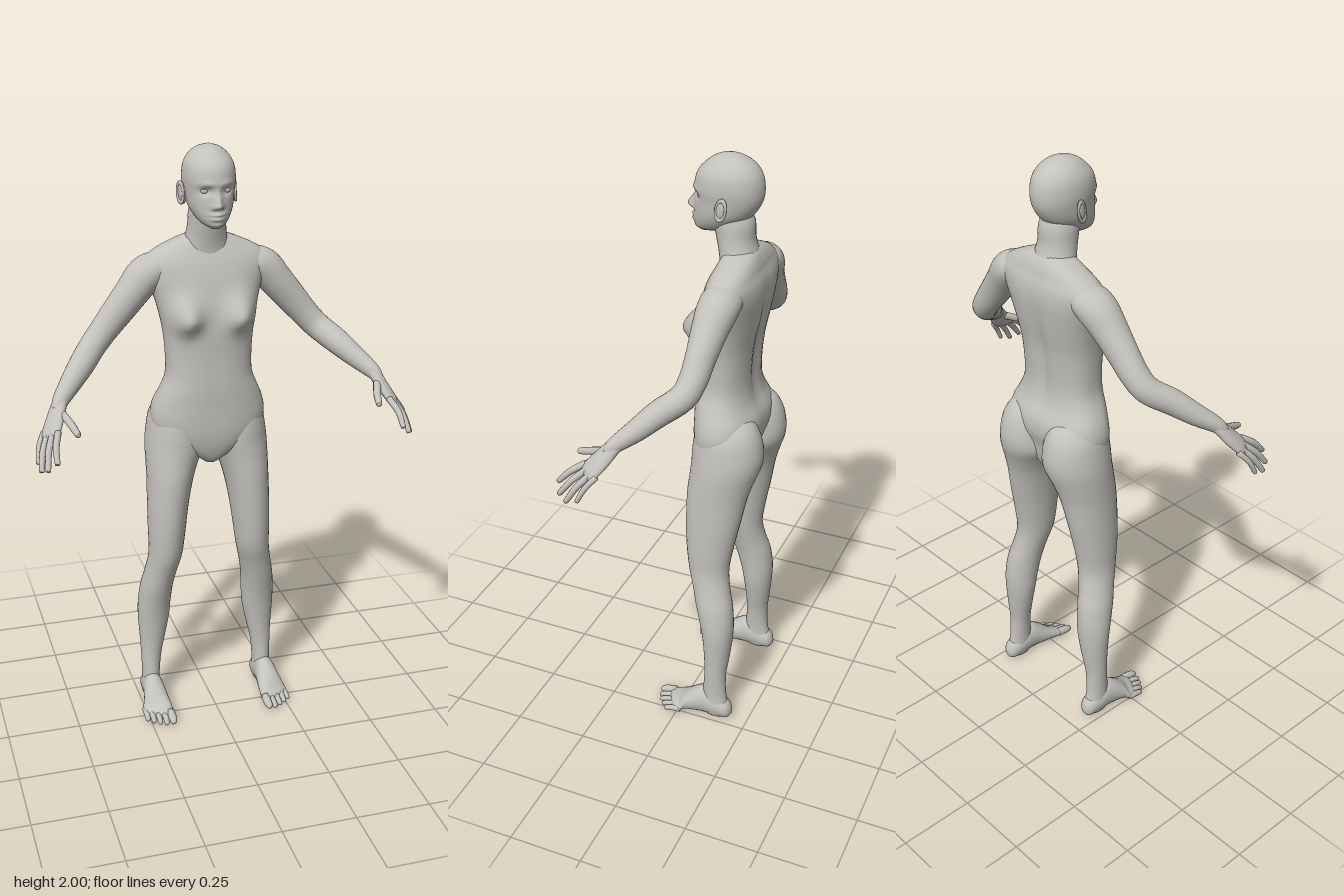
import * as THREE from 'three';

const V = (x, y, z) => new THREE.Vector3(x, y, z);
const bump = (d, r) => Math.exp(-(d * d) / (r * r));

// Smooth closed skin over stations [x, y, z, radiusA, radiusB]; radiusA lies along `side`.
// `axis` fixes the ring direction, otherwise rings follow the path.
function sweep(stations, side, { axis = null, seg = 16, sub = 4, pow = 1, deform = null } = {}) {
  const path = new THREE.CatmullRomCurve3(stations.map(s => V(s[0], s[1], s[2])), false, 'catmullrom', 0.5);
  const radii = new THREE.CatmullRomCurve3(stations.map(s => V(s[3], s[4], 0)), false, 'catmullrom', 0.5);
  const n = (stations.length - 1) * sub;
  const shape = c => Math.sign(c) * Math.abs(c) ** pow;
  const pos = [], idx = [];
  for (let i = 0; i <= n; i++) {
    const c = path.getPoint(i / n), r = radii.getPoint(i / n);
    const t = axis ? axis.clone() : path.getTangent(i / n);
    const u = side.clone().addScaledVector(t, -side.dot(t)).normalize();
    const v = t.clone().cross(u);
    for (let j = 0; j < seg; j++) {
      const a = (j / seg) * Math.PI * 2;
      const p = c.clone().addScaledVector(u, r.x * shape(Math.cos(a))).addScaledVector(v, r.y * shape(Math.sin(a)));
      if (deform) deform(p, c);
      pos.push(p.x, p.y, p.z);
      if (i < n) {
        const k = i * seg, j1 = (j + 1) % seg;
        idx.push(k + j, k + j1, k + seg + j1, k + j, k + seg + j1, k + seg + j);
      }
    }
  }
  // end caps
  [0, n].forEach(i => {
    const c = path.getPoint(i / n), m = pos.length / 3;
    if (deform) deform(c, c.clone());
    pos.push(c.x, c.y, c.z);
    for (let j = 0; j < seg; j++) {
      const a = i * seg + j, b = i * seg + (j + 1) % seg;
      idx.push(m, ...(i ? [a, b] : [b, a]));
    }
  });
  const g = new THREE.BufferGeometry();
  g.setAttribute('position', new THREE.Float32BufferAttribute(pos, 3));
  g.setIndex(idx);
  g.computeVertexNormals();
  return g;
}

// Level rings from rows [y, xCentre, halfWidth, zFront, zBack]
const upright = (rows, opts) => sweep(
  rows.map(([y, x, w, f, b]) => [x, y, (f + b) / 2, w, (f - b) / 2]), V(1, 0, 0), { axis: V(0, 1, 0), ...opts });

function mirrored(geo) {
  const g = geo.clone().scale(-1, 1, 1);
  const a = g.index.array;
  for (let i = 0; i < a.length; i += 3) [a[i + 1], a[i + 2]] = [a[i + 2], a[i + 1]];
  g.computeVertexNormals();
  return g;
}

// Tapered finger or toe with a rounded tip
function digit(base, mid, tip, r, side) {
  const end = tip.clone().sub(mid).normalize();
  const at = (p, k) => [p.x, p.y, p.z, r * k, r * k];
  return sweep([
    at(base, 1.05), at(mid, 1), at(tip.clone().addScaledVector(end, -r * 0.8), 0.82),
    at(tip.clone().addScaledVector(end, -r * 0.25), 0.6), at(tip, 0.08),
  ], side, { seg: 10, sub: 3 });
}

export function createModel() {
  const figure = new THREE.Group();
  figure.name = 'figure';
  const clay = new THREE.MeshStandardMaterial({ color: 0xc2c1bc });
  clay.name = 'clay grey';
  const add = (name, geo) => {
    const m = new THREE.Mesh(geo, clay);
    m.name = name;
    figure.add(m);
  };
  const pair = (name, geo) => {
    add('left ' + name, geo);
    add('right ' + name, mirrored(geo));
  };

  // Torso with chest and spine furrow
  add('torso', upright([
    [0.935, 0, 0.02, -0.05, -0.11], [0.955, 0, 0.05, -0.025, -0.17], [1.0, 0, 0.13, -0.008, -0.19],
    [1.05, 0, 0.18, 0, -0.2], [1.1, 0, 0.196, 0.002, -0.215], [1.15, 0, 0.188, 0.002, -0.212],
    [1.2, 0, 0.166, 0.003, -0.19], [1.25, 0, 0.147, 0.002, -0.18], [1.315, 0, 0.145, 0, -0.18],
    [1.4, 0, 0.152, 0, -0.188], [1.475, 0, 0.166, -0.008, -0.202], [1.53, 0, 0.182, -0.02, -0.21],
    [1.58, 0, 0.2, -0.032, -0.214], [1.62, 0, 0.208, -0.045, -0.21], [1.65, 0, 0.188, -0.058, -0.2],
    [1.675, 0, 0.145, -0.07, -0.193], [1.7, 0, 0.085, -0.08, -0.18], [1.715, 0, 0.04, -0.09, -0.16],
  ], {
    seg: 56, sub: 4, pow: 0.85,
    deform(p, c) {
      if (p.z > c.z) p.z += 0.052 * bump(Math.abs(p.x) - 0.092, 0.046) * bump(p.y - 1.452, p.y > 1.452 ? 0.065 : 0.042);
      else p.z += 0.014 * bump(p.x, 0.025) * bump(p.y - 1.38, 0.2);
    },
  }));

  add('neck', upright([
    [1.6, 0, 0.1, -0.06, -0.2], [1.66, 0, 0.085, -0.06, -0.192], [1.7, 0, 0.07, -0.054, -0.178],
    [1.74, 0, 0.063, -0.045, -0.167], [1.79, 0, 0.06, -0.035, -0.165], [1.83, 0, 0.05, -0.04, -0.15],
  ], { seg: 28 }));

  // Head with brow, eye sockets, nose, lips and chin
  add('head', upright([
    [1.75, 0, 0.016, 0.012, -0.03], [1.765, 0, 0.041, 0.026, -0.09], [1.79, 0, 0.06, 0.028, -0.13],
    [1.82, 0, 0.073, 0.026, -0.165], [1.86, 0, 0.08, 0.024, -0.188], [1.9, 0, 0.084, 0.026, -0.193],
    [1.94, 0, 0.079, 0.015, -0.185], [1.97, 0, 0.062, -0.012, -0.163], [1.99, 0, 0.037, -0.042, -0.13],
    [2.0, 0, 0.006, -0.08, -0.092],
  ], {
    seg: 72, sub: 8,
    deform(p, c) {
      if (p.z < c.z) return;
      const x = Math.abs(p.x), y = p.y;
      p.z += 0.028 * bump(x, 0.012) * bump(y - 1.824, y > 1.824 ? 0.032 : 0.009)
        + 0.008 * bump(x - 0.013, 0.008) * bump(y - 1.821, 0.009)
        + 0.005 * bump(x - 0.03, 0.025) * bump(y - 1.89, 0.01)
        - 0.013 * bump(x - 0.034, 0.017) * bump(y - 1.868, 0.013)
        + 0.011 * bump(x, 0.02) * (bump(y - 1.797, 0.006) + bump(y - 1.783, 0.006))
        + 0.004 * bump(x, 0.02) * bump(y - 1.762, 0.01);
    },
  }));
  pair('eye', new THREE.SphereGeometry(0.013, 16, 10).scale(1.1, 0.7, 0.8).translate(0.034, 1.868, -0.003));
  pair('ear', new THREE.SphereGeometry(1, 16, 12).scale(0.009, 0.034, 0.02)
    .rotateX(-0.2).rotateY(-0.3).translate(0.085, 1.848, -0.088));
  pair('ear rim', new THREE.TorusGeometry(0.02, 0.005, 8, 20).scale(0.9, 1.55, 1)
    .rotateY(Math.PI / 2 - 0.3).rotateX(-0.2).translate(0.09, 1.85, -0.09));

  // Arms
  pair('arm', sweep([
    [0.11, 1.61, -0.13, 0.04, 0.035], [0.155, 1.605, -0.13, 0.062, 0.052], [0.2, 1.583, -0.127, 0.064, 0.061],
    [0.245, 1.533, -0.12, 0.056, 0.056], [0.3, 1.468, -0.115, 0.047, 0.051], [0.345, 1.415, -0.11, 0.044, 0.046],
    [0.385, 1.372, -0.093, 0.042, 0.044], [0.435, 1.33, -0.035, 0.04, 0.042], [0.482, 1.288, 0.015, 0.034, 0.035],
    [0.525, 1.25, 0.065, 0.025, 0.026], [0.54, 1.225, 0.085, 0.018, 0.018],
  ], V(0, 0, 1), { seg: 24 }));

  // Hands
  const across = V(-0.04, 0.012, 0.055).normalize();
  pair('palm', sweep([
    [0.515, 1.262, 0.05, 0.02, 0.018], [0.529, 1.243, 0.07, 0.027, 0.02], [0.55, 1.205, 0.1, 0.035, 0.018],
    [0.57, 1.17, 0.13, 0.037, 0.014], [0.578, 1.157, 0.141, 0.028, 0.007],
  ], across, { seg: 20 }));
  const tips = [V(0.57, 1.105, 0.24), V(0.598, 1.08, 0.225), V(0.614, 1.068, 0.195), V(0.617, 1.08, 0.155)];
  ['index', 'middle', 'ring', 'little'].forEach((name, i) => {
    const base = V(0.55, 1.18, 0.152).lerp(V(0.588, 1.165, 0.1), i / 3);
    const mid = base.clone().lerp(tips[i], 0.5).add(V(0.006, 0.007, 0.002));
    pair(name + ' finger', digit(base, mid, tips[i], i === 3 ? 0.009 : 0.0105, across));
  });
  pair('thumb', digit(V(0.53, 1.225, 0.095), V(0.508, 1.2, 0.152), V(0.495, 1.18, 0.205), 0.0125, V(0, 1, 0)));

  // Legs, rounded at the top to form the seat
  pair('leg', upright([
    [1.18, 0.1, 0.03, -0.08, -0.15], [1.155, 0.1, 0.065, -0.04, -0.205], [1.11, 0.104, 0.09, -0.02, -0.234],
    [1.05, 0.105, 0.101, -0.01, -0.247], [1.0, 0.108, 0.104, -0.008, -0.243], [0.945, 0.122, 0.091, -0.005, -0.224],
    [0.88, 0.134, 0.079, 0, -0.205], [0.785, 0.145, 0.07, 0, -0.187], [0.69, 0.152, 0.064, -0.004, -0.168],
    [0.6, 0.158, 0.058, -0.015, -0.155], [0.53, 0.172, 0.056, -0.035, -0.164], [0.47, 0.184, 0.057, -0.05, -0.179],
    [0.4, 0.191, 0.058, -0.068, -0.186], [0.335, 0.194, 0.056, -0.08, -0.184], [0.25, 0.2, 0.045, -0.088, -0.175],
    [0.18, 0.206, 0.036, -0.09, -0.167], [0.1, 0.209, 0.031, -0.085, -0.17], [0.04, 0.21, 0.032, -0.08, -0.182],
    [0.012, 0.21, 0.025, -0.09, -0.175],
  ].reverse(), { seg: 32 }));

  // Feet, the ball slanting back toward the small toe
  pair('foot', sweep([
    [0.21, 0.035, -0.192, 0.008, 0.012], [0.21, 0.04, -0.178, 0.027, 0.033], [0.21, 0.05, -0.14, 0.034, 0.045],
    [0.211, 0.061, -0.085, 0.037, 0.056], [0.213, 0.042, -0.025, 0.045, 0.037], [0.215, 0.028, 0.02, 0.051, 0.023],
    [0.215, 0.021, 0.05, 0.049, 0.015], [0.215, 0.017, 0.062, 0.034, 0.007],
  ], V(1, 0, 0), {
    axis: V(0, 0, 1), seg: 24,
    deform(p) { if (p.z > -0.03) p.z -= (p.x - 0.175) * 0.5 * Math.min(1, (p.z + 0.03) / 0.06); },
  }));
  const toes = [[0.177, 0.093, 0.0145], [0.2, 0.088, 0.0105], [0.221, 0.077, 0.01], [0.241, 0.063, 0.01], [0.259, 0.046, 0.01]];
  toes.forEach(([x, z, r], i) => pair('toe ' + (i + 1),
    digit(V(x, r + 0.012, z - 0.06), V(x, r + 0.007, z - 0.025), V(x + 0.002, r, z), r, V(1, 0, 0))));

  return figure;
}
